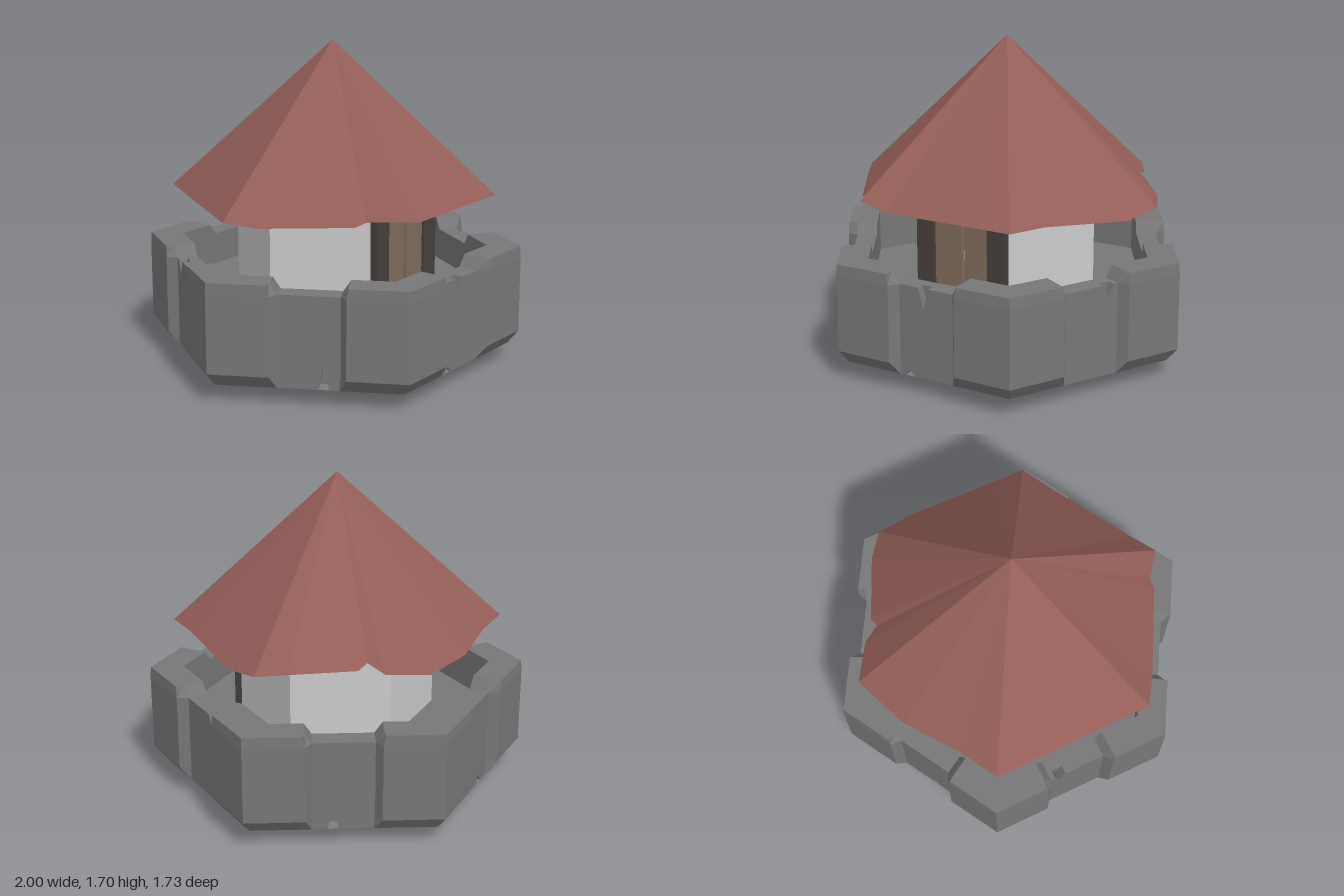
import * as THREE from 'three';

const mat = (color, extra = {}) => new THREE.MeshStandardMaterial({ color, flatShading: true, ...extra });
const C30 = Math.cos(Math.PI / 6);

// Closed solid through rings of [x, v] points (v = -z, counterclockwise from above) at given heights
function loft(rings) {
  const pos = [];
  const put = (r, i) => {
    const p = r.pts[i % r.pts.length];
    pos.push(p[0], r.y, -p[1]);
  };
  for (let k = 0; k < rings.length - 1; k++) {
    const lo = rings[k], hi = rings[k + 1];
    for (let i = 0; i < lo.pts.length; i++) {
      put(lo, i); put(lo, i + 1); put(hi, i + 1);
      put(lo, i); put(hi, i + 1); put(hi, i);
    }
  }
  const cap = (r, flip) => {
    const tris = THREE.ShapeUtils.triangulateShape(r.pts.map(p => new THREE.Vector2(...p)), []);
    for (const t of tris) (flip ? [t[0], t[2], t[1]] : t).forEach(i => put(r, i));
  };
  cap(rings[0], true);
  cap(rings[rings.length - 1], false);
  const g = new THREE.BufferGeometry();
  g.setAttribute('position', new THREE.Float32BufferAttribute(pos, 3));
  g.computeVertexNormals();
  return g;
}

const hexRing = (r, y) => ({
  y,
  pts: Array.from({ length: 6 }, (_, i) => [r * Math.cos(i * Math.PI / 3), r * Math.sin(i * Math.PI / 3)]),
});

// Chevron outline of a corner block: a = outer apothem, u1/u2 = end distances from the wall middle
function cornerRing(y, a, u1, u2) {
  const at = (ap, u) => {
    const R = ap / C30, s = R / 2 - u;
    return [R - 0.5 * s, C30 * s];
  };
  const side = [at(a, u1), at(Math.min(a, 0.815), u2), at(0.71, u2)];
  const mirrored = side.map(([x, v]) => [x, -v]).reverse();
  return { y, pts: [[a / C30, 0], ...side, [0.71 / C30, 0], ...mirrored] };
}

// Wall panel with V-shaped cracks [x, depth] in its top and bottom edges
function panelShape(top, bottom) {
  const w = 0.23, y0 = 0.09, y1 = 0.57, s = new THREE.Shape();
  s.moveTo(-w, y0);
  for (const [x, d] of bottom) {
    s.lineTo(x - 0.025, y0);
    s.lineTo(x, y0 + d);
    s.lineTo(x + 0.03, y0);
  }
  s.lineTo(w, y0);
  s.lineTo(w, y1);
  for (const [x, d] of top) {
    s.lineTo(x + 0.03, y1);
    s.lineTo(x, y1 - d);
    s.lineTo(x - 0.03, y1);
  }
  s.lineTo(-w, y1);
  s.closePath();
  return s;
}

export function createModel() {
  const model = new THREE.Group();
  const stone = mat(0x777777), plaster = mat(0xcccccc);
  const wood = mat(0x806b5b), darkWood = mat(0x46403c);
  const tiles = mat(0x945e58, { side: THREE.DoubleSide });
  const add = (name, geo, material, parent = model) => {
    const m = new THREE.Mesh(geo, material);
    m.name = name;
    parent.add(m);
    return m;
  };
  const box = (name, w, h, d, x, y, z, material, parent) =>
    add(name, new THREE.BoxGeometry(w, h, d), material, parent).position.set(x, y, z);

  // Tapered foundation and courtyard floor
  add('foundation', loft([hexRing(0.56, 0), hexRing(0.94, 0.09), hexRing(0.84, 0.12), hexRing(0.84, 0.4)]), stone);

  // Corner battlements
  const battlement = loft([
    cornerRing(0.09, 0.817, 0.16, 0.15),
    cornerRing(0.16, 0.866, 0.19, 0.155),
    cornerRing(0.57, 0.866, 0.19, 0.155),
    cornerRing(0.628, 0.862, 0.2, 0.195),
  ]);
  for (let i = 0; i < 6; i++) add('battlement', battlement, stone).rotation.y = i * Math.PI / 3;

  // Lower wall panels between the battlements
  const cracks = [
    { top: [[-0.015, 0.11]], bottom: [[-0.1, 0.03]] },
    { top: [[0.1, 0.07]], bottom: [] },
    { top: [], bottom: [[-0.055, 0.14]] },
    { top: [], bottom: [[0.05, 0.04]] },
    { top: [[-0.1, 0.07]], bottom: [] },
    { top: [], bottom: [[0.07, 0.13]] },
  ];
  cracks.forEach(({ top, bottom }, i) => {
    const wall = new THREE.Group();
    wall.name = 'wallPanel';
    wall.rotation.y = i * Math.PI / 3;
    const face = new THREE.ExtrudeGeometry(panelShape(top, bottom), { depth: 0.05, bevelEnabled: false });
    add('panelFace', face, stone, wall).position.z = 0.765;
    box('panelBacking', 0.46, 0.479, 0.06, 0, 0.33, 0.74, stone, wall);
    model.add(wall);
  });

  // Inner tower
  add('tower', loft([hexRing(0.515, 0.38), hexRing(0.515, 1.0)]), plaster);

  // Double door with frame
  const door = new THREE.Group();
  door.name = 'door';
  for (const s of [-1, 1]) box('doorPost', 0.103, 0.55, 0.05, s * 0.207, 0.675, 0.46, darkWood, door);
  box('doorLintel', 0.517, 0.06, 0.05, 0, 0.95, 0.46, darkWood, door);
  box('leftLeaf', 0.14, 0.52, 0.03, 0.085, 0.66, 0.455, wood, door);
  box('rightLeaf', 0.155, 0.52, 0.03, -0.0775, 0.66, 0.455, wood, door);
  model.add(door);

  // Pointed roof with a ragged eave
  const rim = [
    [0.865, 0.9, 0], [0.79, 0.87, 0.19], [0.53, 0.905, 0.58], [0.43, 0.9, 0.745],
    [0.25, 0.9, 0.74], [-0.27, 0.9, 0.745], [-0.43, 0.935, 0.738], [-0.49, 0.92, 0.59],
    [-0.54, 0.9, 0.56], [-0.79, 0.88, 0.15], [-0.865, 0.9, 0], [-0.65, 0.9, -0.375],
    [-0.43, 0.9, -0.755], [-0.2, 0.905, -0.755], [0.13, 0.89, -0.79], [0.45, 0.9, -0.745],
    [0.55, 0.9, -0.55], [0.545, 0.94, -0.45], [0.6, 0.915, -0.43], [0.8, 0.915, -0.15],
  ];
  const roofPos = rim.flatMap((p, i) => [...p, 0, 1.7, 0, ...rim[(i + 1) % rim.length]]);
  const roof = new THREE.BufferGeometry();
  roof.setAttribute('position', new THREE.Float32BufferAttribute(roofPos, 3));
  roof.computeVertexNormals();
  add('roof', roof, tiles);

  return model;
}
